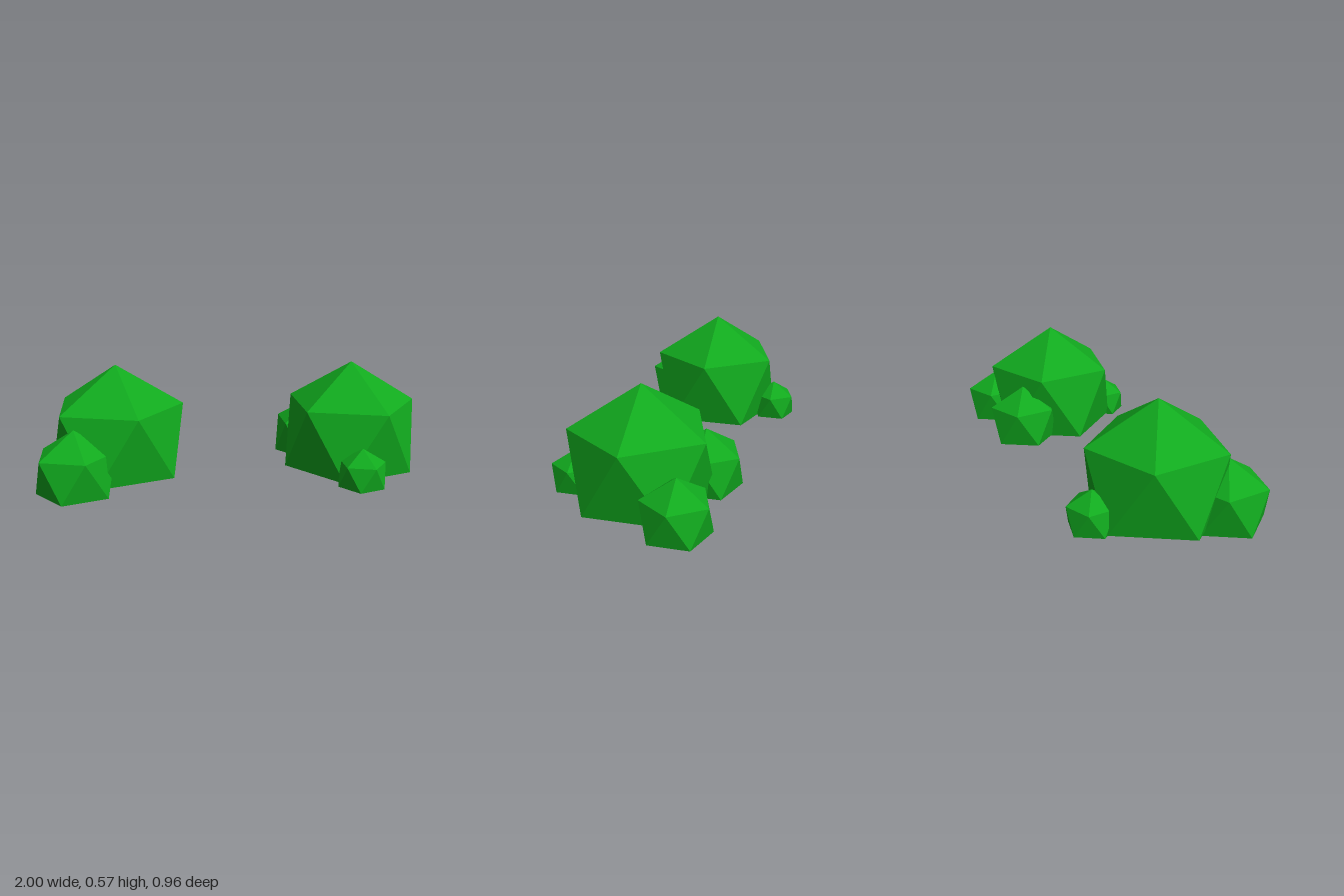
import * as THREE from 'three';

// Icosahedral clump with its underside flattened; r is the radius of both five-sided rings.
function clumpGeometry(r) {
  const ring = (i, offset, y) => {
    const a = ((i + offset) * Math.PI * 2) / 5;
    return [r * Math.cos(a), y, r * Math.sin(a)];
  };
  const top = [0, r * 1.618, 0];
  const bottom = [0, -r * 0.02, 0];
  const points = [];
  for (let i = 0; i < 5; i++) {
    const u0 = ring(i, 0, r), u1 = ring(i + 1, 0, r);
    const l0 = ring(i, 0.5, 0), l1 = ring(i + 1, 0.5, 0);
    points.push(top, u1, u0); // crown
    points.push(u0, u1, l0, l0, u1, l1); // side band
    points.push(bottom, l0, l1); // flat underside
  }
  const geometry = new THREE.BufferGeometry();
  geometry.setAttribute('position', new THREE.Float32BufferAttribute(points.flat(), 3));
  geometry.computeVertexNormals();
  return geometry;
}

export function createModel() {
  const model = new THREE.Group();
  model.name = 'bushes';
  const leaves = new THREE.MeshStandardMaterial({ color: 0x11aa1e, flatShading: true });

  // Each clump: name, ring radius, x, base height, z
  const bushes = {
    rightBush: [
      ['mainClump', 0.332, -0.605, 0.035, -0.038],
      ['frontClump', 0.191, -0.809, 0.004, 0.203],
      ['backClump', 0.115, -0.599, 0.028, -0.37],
    ],
    leftBush: [
      ['mainClump', 0.332, 0.575, 0.035, 0.042],
      ['frontClump', 0.115, 0.552, 0.028, 0.37],
      ['backOuterClump', 0.158, 0.838, 0.019, -0.186],
      ['backInnerClump', 0.173, 0.413, 0.041, -0.213],
    ],
  };

  for (const [bushName, clumps] of Object.entries(bushes)) {
    const bush = new THREE.Group();
    bush.name = bushName;
    for (const [name, r, x, y, z] of clumps) {
      const clump = new THREE.Mesh(clumpGeometry(r), leaves);
      clump.name = name;
      clump.position.set(x, y, z);
      bush.add(clump);
    }
    model.add(bush);
  }
  return model;
}
